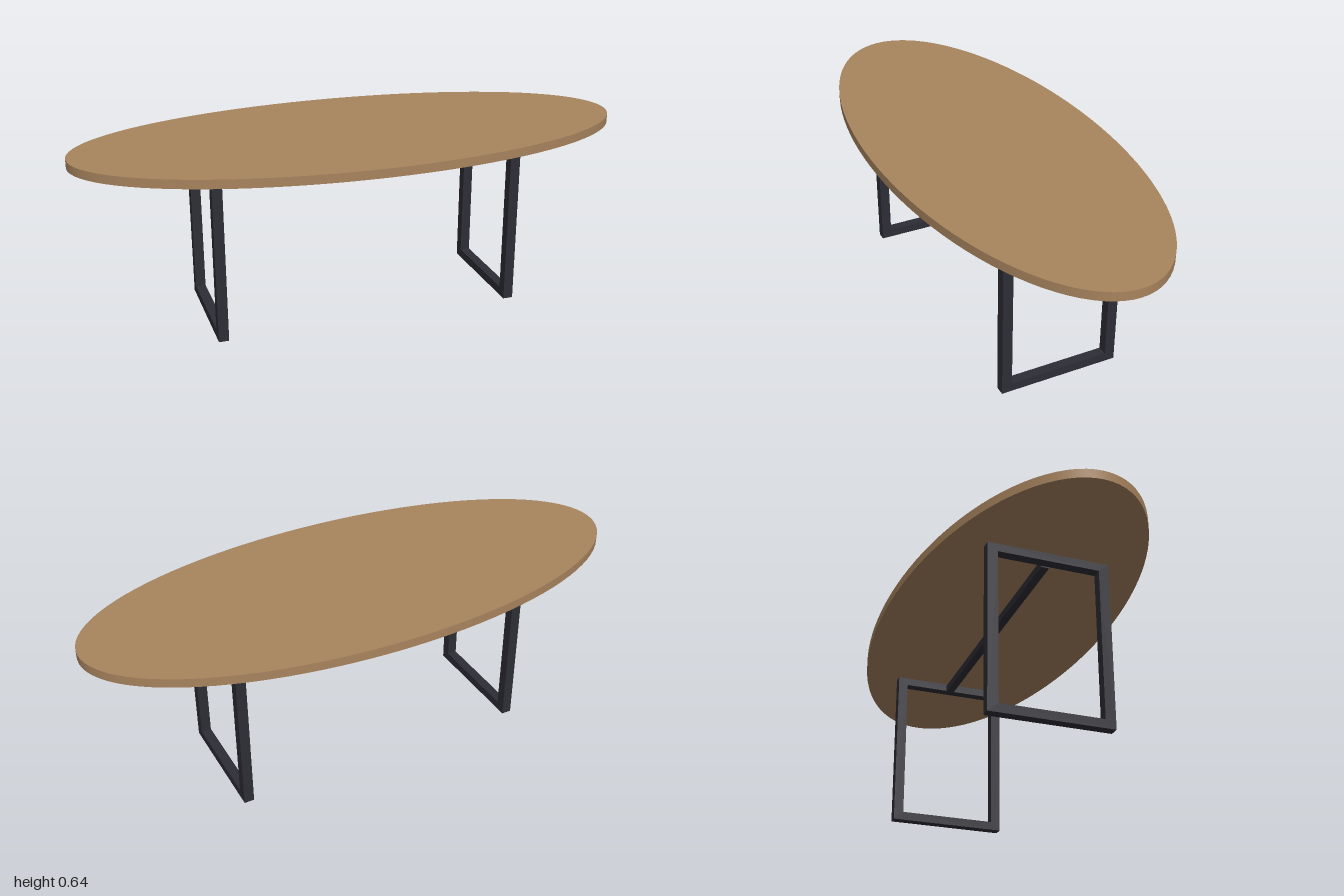
import * as THREE from 'three';

const TOP_Y = 0.644, UNDER_Y = 0.612;
const LEG_X = 0.541, LEG_THICK = 0.036;

// Closed rectangular loop in the y-z plane, centred on x = 0
function legFrameGeometry() {
  const rect = (Type, halfWidth, bottom, top) => new Type([
    new THREE.Vector2(-halfWidth, bottom),
    new THREE.Vector2(halfWidth, bottom),
    new THREE.Vector2(halfWidth, top),
    new THREE.Vector2(-halfWidth, top),
  ]);
  const shape = rect(THREE.Shape, 0.219, 0, UNDER_Y);
  shape.holes.push(rect(THREE.Path, 0.182, 0.032, 0.582));
  return new THREE.ExtrudeGeometry(shape, { depth: LEG_THICK, bevelEnabled: false })
    .translate(0, 0, -LEG_THICK / 2)
    .rotateY(Math.PI / 2);
}

export function createModel() {
  const wood = new THREE.MeshStandardMaterial({ color: 0xa8845e });
  wood.name = 'oak wood';
  const metal = new THREE.MeshStandardMaterial({ color: 0x2d2d36 });
  metal.name = 'dark metal';

  const table = new THREE.Group();
  table.name = 'ovalTable';
  const add = (name, geometry, material, x, y) => {
    const mesh = new THREE.Mesh(geometry, material);
    mesh.name = name;
    mesh.position.set(x, y, 0);
    table.add(mesh);
  };

  // Oval top
  const top = new THREE.CylinderGeometry(1, 1, TOP_Y - UNDER_Y, 96).scale(1, 1, 0.417);
  add('tabletop', top, wood, 0, (TOP_Y + UNDER_Y) / 2);

  // Leg loops on both sides
  const frame = legFrameGeometry();
  add('leftLegFrame', frame, metal, LEG_X, 0);
  add('rightLegFrame', frame, metal, -LEG_X, 0);

  // Stretcher bar joining the loops beneath the top
  const length = 2 * LEG_X - LEG_THICK;
  add('stretcher', new THREE.BoxGeometry(length, 0.029, 0.029), metal, 0, 0.592);

  return table;
}
